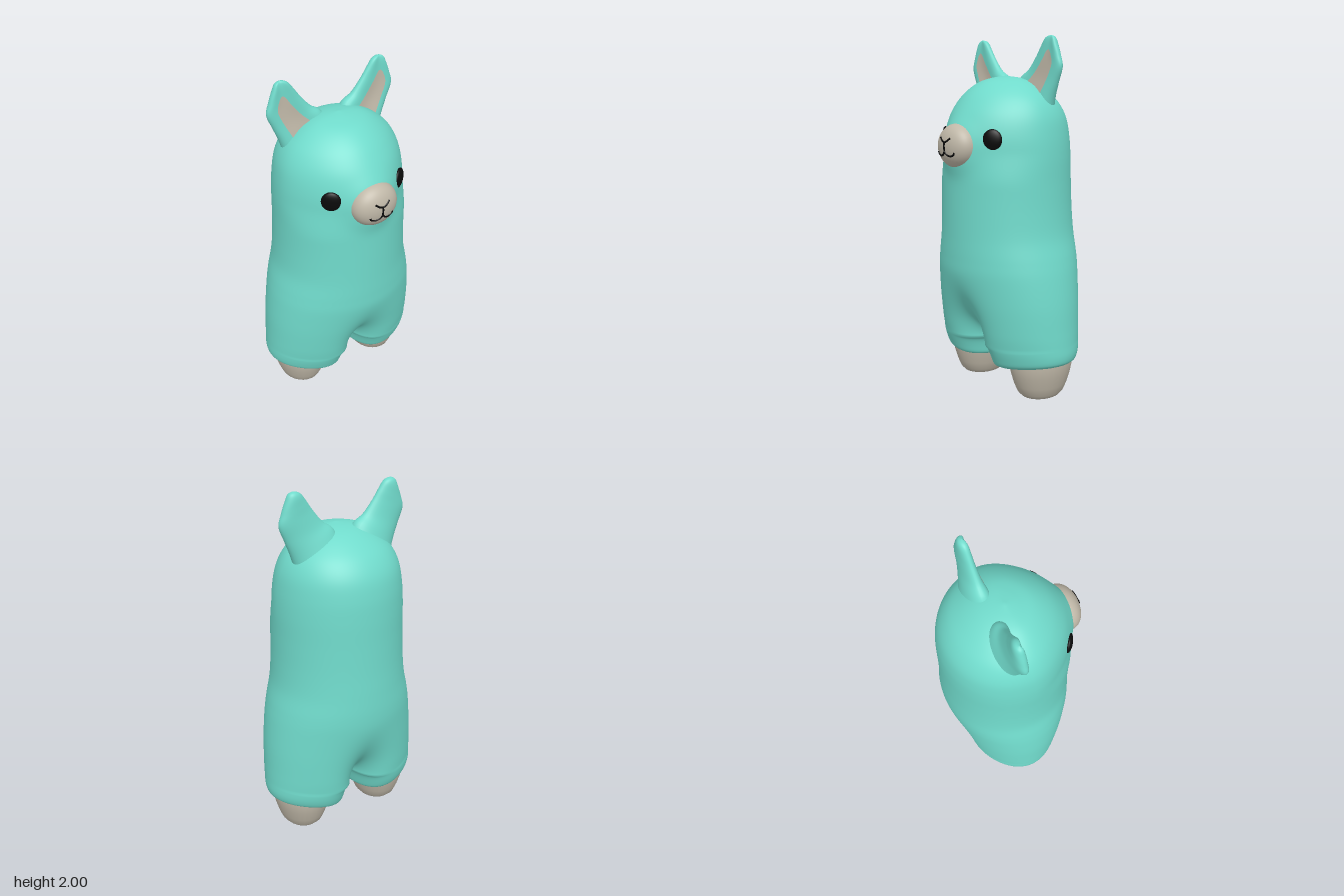
import * as THREE from 'three';
import { mergeGeometries, mergeVertices } from 'three/addons/utils/BufferGeometryUtils.js';

const WOOL = 0x70dacb, SKIN = 0xc0b8a8, DARK = 0x0a0a0a;
const { clamp, smoothstep, lerp } = THREE.MathUtils;

function add(parent, name, geometry, color) {
  const mesh = new THREE.Mesh(geometry, new THREE.MeshStandardMaterial({ color }));
  mesh.name = name;
  parent.add(mesh);
  return mesh;
}

// Grid surface from f(u, v) -> [x, y, z]
function sheet(f, nu, nv, flip) {
  const pos = [], idx = [];
  for (let j = 0; j <= nv; j++)
    for (let i = 0; i <= nu; i++) pos.push(...f(i / nu, j / nv));
  for (let j = 0; j < nv; j++)
    for (let i = 0; i < nu; i++) {
      const a = j * (nu + 1) + i, b = a + 1, d = a + nu + 1, c = d + 1;
      if (flip) idx.push(a, c, b, a, d, c);
      else idx.push(a, b, c, a, c, d);
    }
  const g = new THREE.BufferGeometry();
  g.setAttribute('position', new THREE.Float32BufferAttribute(pos, 3));
  g.setIndex(idx);
  return g;
}

function weld(sheets) {
  const g = mergeVertices(mergeGeometries(sheets), 1e-4);
  g.computeVertexNormals();
  return g;
}

const spline = pts => new THREE.CatmullRomCurve3(
  pts.map(p => new THREE.Vector3(...p)), false, 'catmullrom', 0.5);

// Body levels: height, half width, front z, back z, inset scale
const LEVELS = [
  [0.215, 0.474, 0.20, -0.30, 0.5], [0.192, 0.474, 0.20, -0.30, 0.82],
  [0.197, 0.474, 0.20, -0.303, 0.92], [0.212, 0.474, 0.205, -0.306, 0.975],
  [0.25, 0.474, 0.215, -0.315, 1],
  [0.31, 0.472, 0.237, -0.33, 1], [0.4, 0.468, 0.268, -0.352, 1],
  [0.55, 0.458, 0.308, -0.38, 1], [0.7, 0.438, 0.335, -0.4, 1],
  [0.8, 0.418, 0.34, -0.405, 1], [0.92, 0.389, 0.34, -0.4, 1],
  [1.05, 0.376, 0.34, -0.392, 1], [1.2, 0.37, 0.34, -0.386, 1],
  [1.35, 0.367, 0.342, -0.382, 1], [1.47, 0.357, 0.335, -0.373, 1],
  [1.57, 0.336, 0.305, -0.35, 1], [1.65, 0.295, 0.255, -0.302, 1],
  [1.71, 0.235, 0.198, -0.235, 1], [1.755, 0.165, 0.13, -0.16, 1],
  [1.778, 0.095, 0.055, -0.09, 1], [1.79, 0, -0.015, -0.015, 1],
];
const CROTCH = 0.31;
const MUZZLE = { y: 1.415, z: 0.3, rx: 0.133, ry: 0.122, rz: 0.108 };

// Body: an ellipse section that is pinched into two legs towards the crotch
function bodyGeometry() {
  const A = spline(LEVELS.map(([y, w, zf]) => [w, y, zf]));
  const B = spline(LEVELS.map(([, , , zb, s]) => [zb, s, 0]));
  const point = (sx, sz) => (u, v) => {
    const { x: w, y, z: zf } = A.getPoint(v), { x: zb, y: scale } = B.getPoint(v);
    const cos = Math.cos(u * Math.PI), q = (1 + cos) / 2;
    const k = clamp((y - 0.22) / (CROTCH - 0.22), 0, 1);
    const inner = 0.036 * Math.sqrt(1 - k * k);
    const x = (w + inner) / 2 + (w - inner) / 2 * cos * scale;

    // Rounded groove between the legs, fading out upwards
    const a = clamp((y - CROTCH) / 0.42, 0, 1), join = 1 - (1 - a) ** 2, e = 0.25 * join;
    const soft = (Math.sqrt(q * q + e * e) - e) / (Math.sqrt(1 + e * e) - e);
    const groove = lerp(1 - (1 - soft) ** 5, 1, join);
    let depth = Math.sqrt((1 - q * q) * groove) * lerp(1.13, 1, join) * (zf - zb) / 2;

    // Narrower face, with a swelling around the muzzle
    let swell = 0;
    if (sz > 0) {
      depth *= 1 - 0.2 * q * q * smoothstep(y, 1.2, 1.4);
      swell = 0.02 * Math.exp(-(((x / 0.15) ** 2 + ((y - MUZZLE.y) / 0.14) ** 2) ** 2));
    }
    const hem = (x - 0.25) * 0.13 * (1 - smoothstep(y, 0.2, 0.44));
    return [sx * x, y + hem, (zf + zb) / 2 + sz * scale * depth + swell];
  };
  const sheets = [];
  for (const sx of [1, -1])
    for (const sz of [1, -1])
      sheets.push(sheet(point(sx, sz), 36, (LEVELS.length - 1) * 7, sx * sz > 0));
  return weld(sheets);
}

// Ear rows from base to tip: inner edge x, y, outer edge x, y, half thickness
const EAR = [
  [0.03, 1.72, 0.28, 1.56, 0.1], [0.07, 1.787, 0.308, 1.66, 0.07],
  [0.125, 1.825, 0.343, 1.75, 0.048], [0.18, 1.89, 0.373, 1.83, 0.038],
  [0.215, 1.94, 0.358, 1.89, 0.034], [0.243, 1.978, 0.335, 1.95, 0.03],
  [0.265, 1.993, 0.318, 1.985, 0.02], [0.293, 1.999, 0.293, 1.999, 0],
];
const earInner = spline(EAR.map(r => [r[0], r[1], r[4]]));
const earOuter = spline(EAR.map(r => [r[2], r[3], 0]));

function earPoint(sx, c, s, v, lift = 0) {
  const p = earInner.getPoint(v), q = earOuter.getPoint(v);
  const hollow = s > 0 ? 0.55 * s ** 4 : 0;
  return [sx * lerp(p.x, q.x, (1 + c) / 2), lerp(p.y, q.y, (1 + c) / 2),
    -0.088 + p.z * (s - hollow) + lift];
}

function earGeometry(sx) {
  return weld([sheet((u, v) => {
    const t = u * Math.PI * 2;
    return earPoint(sx, Math.cos(t), Math.sin(t), v);
  }, 36, 42, sx > 0)]);
}

// Skin patch lying in the hollow of the ear
function earLiningGeometry(sx) {
  return weld([sheet((u, v) => {
    const c = 0.06 + (u * 2 - 1) * 0.46 * Math.sqrt(1 - v ** 3);
    return earPoint(sx, c, Math.sqrt(1 - c * c), lerp(0.12, 0.6, v), 0.005);
  }, 14, 20, sx < 0)]);
}

// Blunt dome of the muzzle
const muzzleZ = (x, y) => MUZZLE.z + MUZZLE.rz *
  Math.max(0, 1 - (x / MUZZLE.rx) ** 2 - ((y - MUZZLE.y) / MUZZLE.ry) ** 2) ** 0.38;

function muzzleGeometry() {
  return weld([sheet((u, v) => {
    const t = u * Math.PI * 2, r = Math.sin((1 - v) * Math.PI / 2);
    const x = MUZZLE.rx * r * Math.cos(t), y = MUZZLE.y + MUZZLE.ry * r * Math.sin(t);
    return [x, y, muzzleZ(x, y)];
  }, 40, 20, false)]);
}

// Thin line following the muzzle surface
function muzzleLine(points) {
  const path = new THREE.CatmullRomCurve3(
    points.map(([x, y]) => new THREE.Vector3(x, y, muzzleZ(x, y))));
  return new THREE.TubeGeometry(path, 20, 0.0055, 6);
}

export function createModel() {
  const model = new THREE.Group();
  add(model, 'body', bodyGeometry(), WOOL);

  // Face
  add(model, 'muzzle', muzzleGeometry(), SKIN);
  add(model, 'noseStem', muzzleLine([[0, 1.437], [0, 1.415], [0, 1.392]]), DARK);

  const footProfile = [[0, 0.004], [0.07, 0], [0.1, 0.006], [0.12, 0.03], [0.137, 0.075],
    [0.155, 0.14], [0.166, 0.2], [0.166, 0.27]].map(p => new THREE.Vector2(...p));

  for (const sx of [1, -1]) {
    const side = sx > 0 ? 'left' : 'right';
    add(model, side + 'Nostril', muzzleLine(
      [[0, 1.437], [sx * 0.02, 1.445], [sx * 0.043, 1.462]]), DARK);
    add(model, side + 'Mouth', muzzleLine(
      [[0, 1.392], [sx * 0.014, 1.374], [sx * 0.04, 1.366], [sx * 0.062, 1.374], [sx * 0.068, 1.388]]), DARK);

    const eye = add(model, side + 'Eye', new THREE.SphereGeometry(1, 24, 16), DARK);
    eye.scale.set(0.053, 0.056, 0.02);
    eye.position.set(sx * 0.208, 1.455, 0.248);
    eye.rotation.y = sx * 0.63;

    add(model, side + 'Ear', earGeometry(sx), WOOL);
    add(model, side + 'EarLining', earLiningGeometry(sx), SKIN).material.side = THREE.DoubleSide;

    const foot = add(model, side + 'Foot', new THREE.LatheGeometry(footProfile, 28), SKIN);
    foot.scale.z = 1.17;
    foot.position.set(sx * 0.265, 0, -0.055);
  }
  return model;
}
